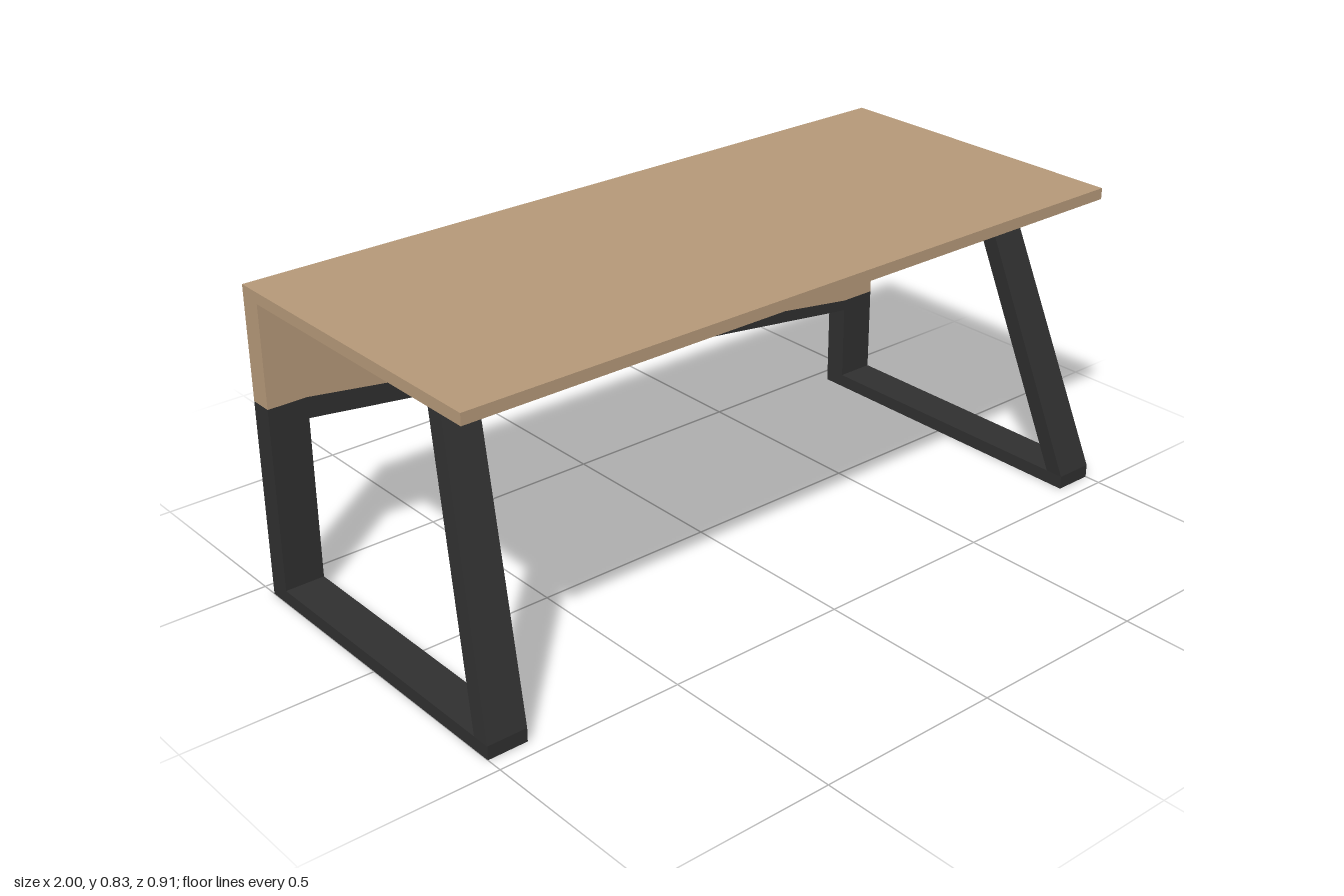
import * as THREE from 'three';

const wood = new THREE.MeshStandardMaterial({ color: 0xb49878 });
wood.name = 'tan wood';
const metal = new THREE.MeshStandardMaterial({ color: 0x2f2f2f });
metal.name = 'dark metal';

const BACK = -0.455, FRONT = 0.455, DEPTH = 0.062, LEG = 0.107, FOOT = 0.036, TOP = 0.8;

function add(group, name, geometry, material) {
  const mesh = new THREE.Mesh(geometry, material);
  mesh.name = name;
  group.add(mesh);
  return mesh;
}

// box given by its lower and upper limits
function box(x0, x1, y0, y1, z0, z1) {
  return new THREE.BoxGeometry(x1 - x0, y1 - y0, z1 - z0)
    .translate((x0 + x1) / 2, (y0 + y1) / 2, (z0 + z1) / 2);
}

// upright outline in x/y, given the depth of the back frame
function slab(points) {
  const shape = new THREE.Shape(points.map(([x, y]) => new THREE.Vector2(x, y)));
  return new THREE.ExtrudeGeometry(shape, { depth: DEPTH, bevelEnabled: false }).translate(0, 0, BACK);
}

// box whose upper face is moved and resized: [x0, x1, z0, z1] below and above
function leaningPost(y0, y1, low, high) {
  const g = new THREE.BoxGeometry(1, 1, 1);
  const p = g.attributes.position;
  for (let i = 0; i < p.count; i++) {
    const up = p.getY(i) > 0;
    const r = up ? high : low;
    p.setXYZ(i, p.getX(i) < 0 ? r[0] : r[1], up ? y1 : y0, p.getZ(i) < 0 ? r[2] : r[3]);
  }
  g.computeVertexNormals();
  return g;
}

export function createModel() {
  const desk = new THREE.Group();
  desk.name = 'desk';

  // wooden top and slanted back panel
  add(desk, 'tableTop', box(-1, 1, TOP, 0.83, BACK, 0.423), wood);
  const inner = 1 - LEG;
  const slant = [[-1, 0.53], [-inner, 0.53], [inner, 0.278], [1, 0.278]];
  add(desk, 'backPanel', slab([...slant, [1, TOP], [-1, TOP]]), wood);

  // back legs joined by the sloping rail under the panel
  add(desk, 'backFrame', slab([
    [-1, 0], [-inner, 0], [-inner, 0.474], [inner, 0.247], [inner, 0], [1, 0],
    ...[...slant].reverse(),
  ]), metal);

  // floor bar and leaning front leg on each side
  for (const side of [-1, 1]) {
    const span = (a, b) => [Math.min(side * a, side * b), Math.max(side * a, side * b)];
    const label = side > 0 ? 'left' : 'right';
    add(desk, label + 'FloorBar', box(...span(inner, 1), 0, FOOT, BACK + DEPTH, FRONT), metal);
    add(desk, label + 'FrontLeg', leaningPost(FOOT, 0.797,
      [...span(inner, 1), 0.405, FRONT],
      [...span(0.807, 0.904), 0.14, 0.19]), metal);
  }
  return desk;
}
